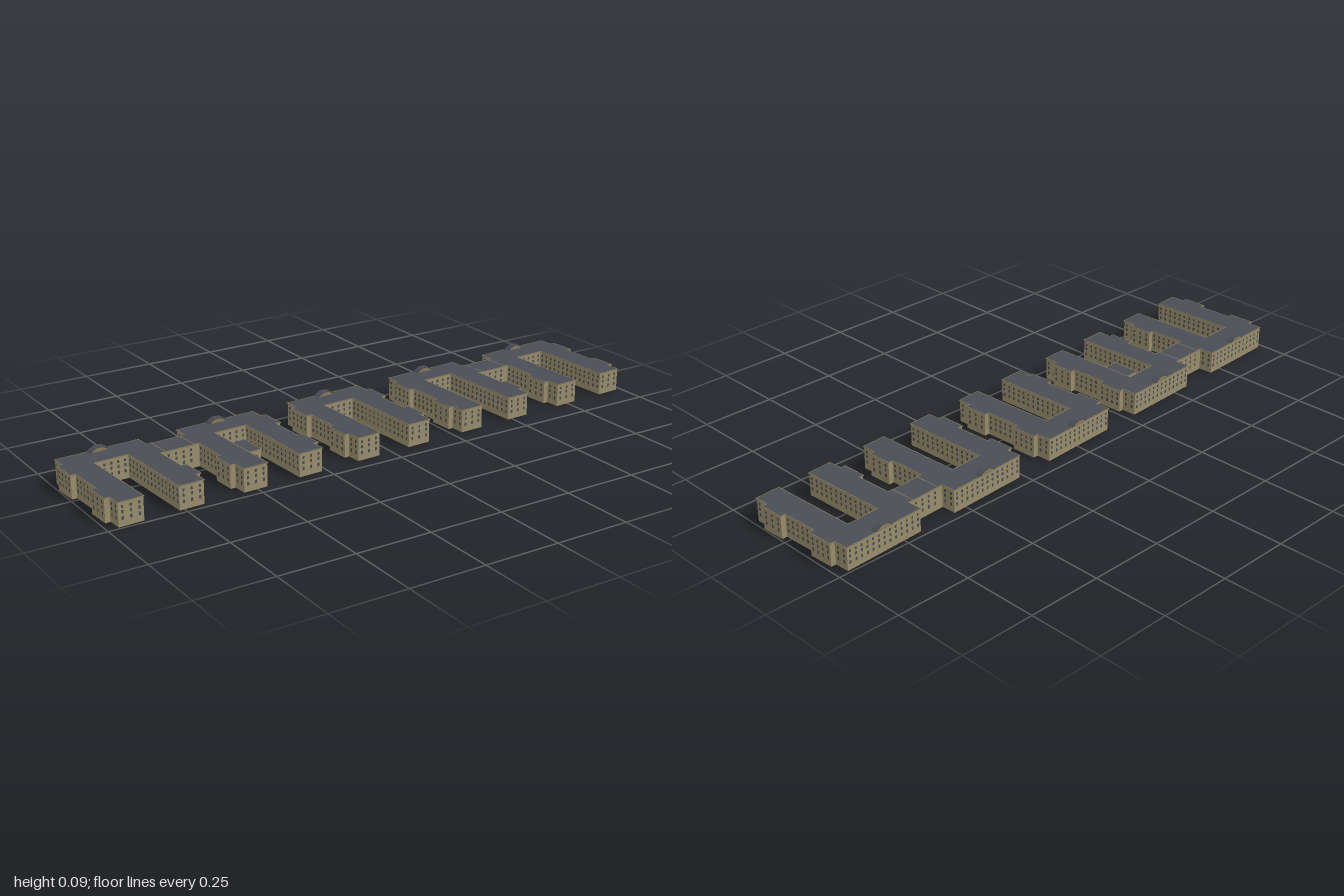
import * as THREE from 'three';
import { mergeGeometries } from 'three/addons/utils/BufferGeometryUtils.js';

const mat = (name, color) => {
  const m = new THREE.MeshStandardMaterial({ color, side: THREE.DoubleSide });
  m.name = name;
  return m;
};
const stone = mat('sandstone', 0x988d6d);
const trim = mat('cornice stone', 0x857a5c);
const slate = mat('slate', 0x4a4d54);
const glass = mat('window glass', 0x474b53);

const HEIGHT = 0.0775;
// window rows: centre height and pane height
const ROWS = [[0.026, 0.011], [0.0455, 0.01], [0.0616, 0.009]];

const mirrorOutline = (half) => [...half, ...half.map(([x, z]) => [-x, z]).reverse()];
const rect = (x0, x1, z0, z1) => [[x0, z0], [x1, z0], [x1, z1], [x0, z1]];

// edges of a plan outline with length and outward normal
const edgesOf = (pts) => pts.map((a, i) => {
  const b = pts[(i + 1) % pts.length];
  const dx = b[0] - a[0], dz = b[1] - a[1], len = Math.hypot(dx, dz);
  return { a, b, len, n: [dz / len, -dx / len] };
});

// push a right-angled outline outwards
function outset(pts, d) {
  const e = edgesOf(pts);
  return pts.map(([x, z], i) => {
    const p = e[(i + e.length - 1) % e.length].n, q = e[i].n;
    return [x + d * (p[0] + q[0]), z + d * (p[1] + q[1])];
  });
}

const toVectors = (pts) => pts.map(([x, z]) => new THREE.Vector2(x, -z));

function add(group, name, geometry, material) {
  const m = new THREE.Mesh(geometry, material);
  m.name = name;
  group.add(m);
  return m;
}

// hollow building on a plan outline: walls, cornice, flat roof, windows
function building(name, pts, height, rows) {
  const g = new THREE.Group();
  g.name = name;
  const walls = [], panes = [];
  for (const { a, b, len, n } of edgesOf(pts)) {
    const turn = Math.atan2(n[0], n[1]);
    walls.push(new THREE.PlaneGeometry(len, height).rotateY(turn)
      .translate((a[0] + b[0]) / 2, height / 2, (a[1] + b[1]) / 2));
    const count = Math.floor(len / 0.021);
    for (let i = 0; i < count; i++) {
      const t = (i + 0.5) / count;
      const x = a[0] + (b[0] - a[0]) * t + n[0] * 0.0006;
      const z = a[1] + (b[1] - a[1]) * t + n[1] * 0.0006;
      for (const [y, h] of rows)
        panes.push(new THREE.PlaneGeometry(0.0072, h).rotateY(turn).translate(x, y, z));
    }
  }
  add(g, 'walls', mergeGeometries(walls), stone);
  if (panes.length) add(g, 'windows', mergeGeometries(panes), glass);

  const ring = new THREE.Shape(toVectors(outset(pts, 0.0025)));
  ring.holes.push(new THREE.Path(toVectors(pts)));
  add(g, 'cornice', new THREE.ExtrudeGeometry(ring, { depth: 0.0025, bevelEnabled: false })
    .rotateX(-Math.PI / 2).translate(0, height - 0.0025, 0), trim);
  add(g, 'roof', new THREE.ShapeGeometry(new THREE.Shape(toVectors(pts)))
    .rotateX(-Math.PI / 2).translate(0, height, 0), slate);
  return g;
}

// low dormer over the entrance side
function dormer() {
  const g = new THREE.Group();
  g.name = 'dormer';
  const profile = (s) => new THREE.Shape([[-0.034, 0], [0.034, 0], [0.028, 0.006], [0.012, 0.0145],
    [-0.012, 0.0145], [-0.028, 0.006]].map(([x, y]) => new THREE.Vector2(x * s, y * s)));
  add(g, 'dormerRoof', new THREE.ExtrudeGeometry(profile(1), { depth: 0.02, bevelEnabled: false }), slate);
  for (const z of [-0.0006, 0.0206])
    add(g, 'dormerGable', new THREE.ShapeGeometry(profile(0.8)), trim).position.z = z;
  g.position.set(0, HEIGHT, -0.197);
  return g;
}

export function createModel() {
  const model = new THREE.Group();
  model.name = 'terraceComplex';
  const site = new THREE.Group();
  site.name = 'site';
  site.rotation.y = 0.048;
  model.add(site);

  // U-shaped block with stepped bays on its outer sides
  const plan = mirrorOutline([
    [0.14, -0.195], [0.14, -0.145], [0.157, -0.145], [0.157, -0.06], [0.14, -0.06],
    [0.14, 0.067], [0.157, 0.067], [0.157, 0.147], [0.14, 0.147], [0.14, 0.195],
    [0.058, 0.195], [0.058, -0.107]]);
  const pitch = 0.417;
  for (let i = -2; i <= 2; i++) {
    const block = building('courtBlock', plan, HEIGHT, ROWS);
    block.add(dormer());
    block.position.x = i * pitch;
    site.add(block);
    // small court annex with its passage
    if (i === -1) {
      block.add(building('annex', rect(-0.033, 0.023, -0.06, 0.035), 0.05, ROWS.slice(0, 1)));
      block.add(building('annexPassage', rect(-0.011, 0.001, -0.107, -0.06), 0.035, []));
      block.add(building('annexPorch', rect(-0.015, 0.005, 0.035, 0.052), 0.035, []));
    }
  }

  // linking ranges within the outer pairs
  for (const s of [-1, 1]) {
    const half = pitch / 2 - 0.157;
    const link = building('linkRange', rect(-half, half, -0.145, -0.06), HEIGHT - 0.0008, ROWS);
    link.position.x = s * pitch * 1.5;
    site.add(link);
  }
  return model;
}
